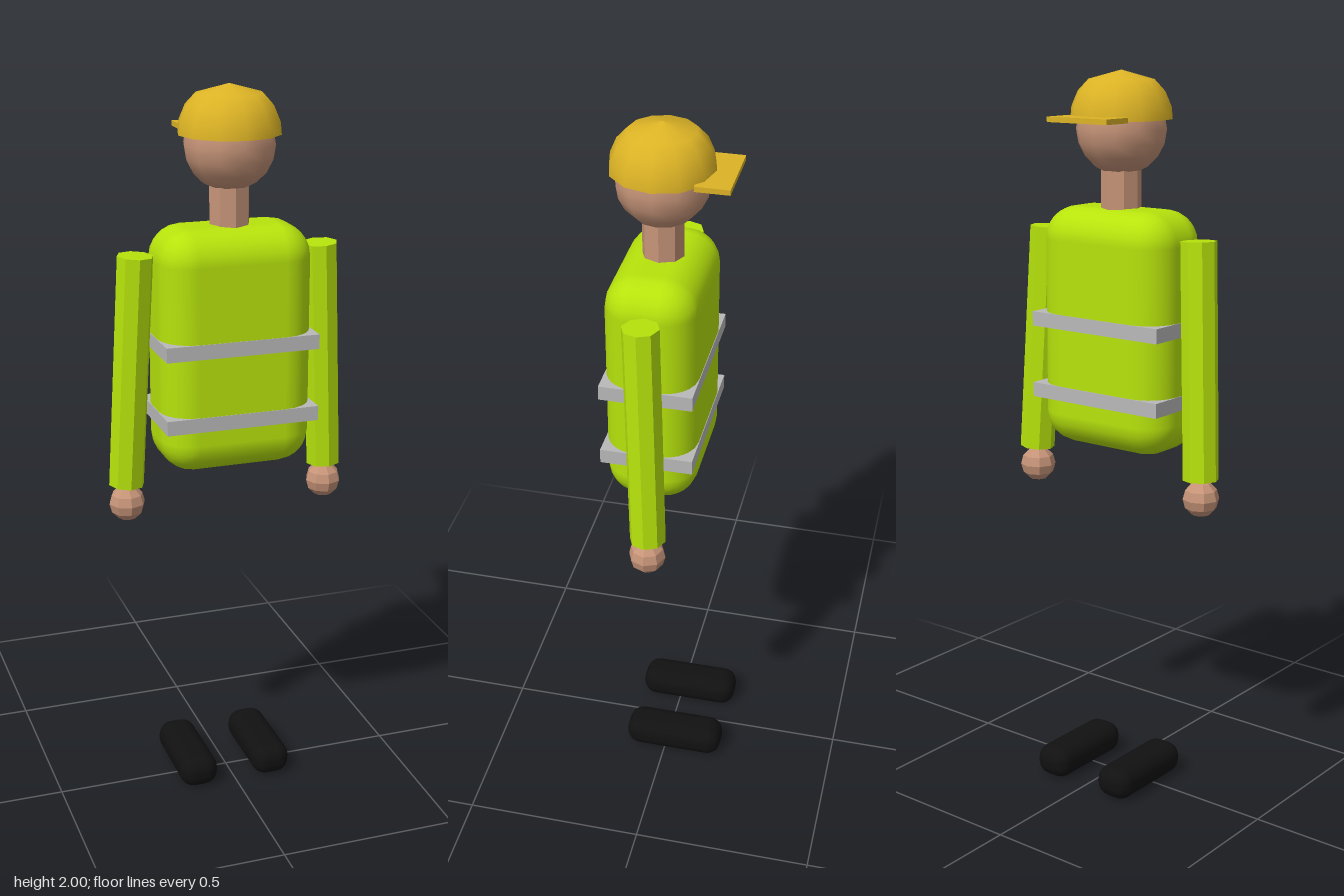
import * as THREE from 'three';
import { RoundedBoxGeometry } from 'three/addons/geometries/RoundedBoxGeometry.js';

function material(name, color, side = THREE.FrontSide) {
  const m = new THREE.MeshStandardMaterial({ color, side });
  m.name = name;
  return m;
}

// Faceted normals for the low-poly limbs
function faceted(geometry) {
  const g = geometry.toNonIndexed();
  g.computeVertexNormals();
  return g;
}

export function createModel() {
  const model = new THREE.Group();
  model.name = 'worker';
  const lime = material('safetyLime', 0xb7e30c);
  const grey = material('reflectiveGrey', 0xb9b9b9);
  const skin = material('skin', 0xc69478);
  const yellow = material('capYellow', 0xdcb325, THREE.DoubleSide);
  const black = material('shoeBlack', 0x111111);

  function add(name, geometry, mat, x, y, z) {
    const mesh = new THREE.Mesh(geometry, mat);
    mesh.name = name;
    mesh.position.set(x, y, z);
    model.add(mesh);
    return mesh;
  }

  const bodyZ = 0.03;

  // Vest torso with two reflective bands
  add('torso', new RoundedBoxGeometry(0.42, 0.66, 0.245, 3, 0.09), lime, 0, 1.31, bodyZ);
  for (const y of [1.13, 1.33]) {
    add('reflectiveBand', new THREE.BoxGeometry(0.424, 0.04, 0.248), grey, 0, y, bodyZ);
  }

  // Neck and head
  add('neck', faceted(new THREE.CylinderGeometry(0.055, 0.055, 0.16, 8)), skin, 0, 1.67, bodyZ);
  add('head', new THREE.SphereGeometry(0.122, 12, 10), skin, 0, 1.847, bodyZ);

  // Cap: open dome with a flat brim pointing to -z
  const dome = [[0.137, 1.873], [0.134, 1.905], [0.117, 1.945], [0.088, 1.976], [0, 2]];
  add('capDome', new THREE.LatheGeometry(dome.map(([r, y]) => new THREE.Vector2(r, y)), 12),
    yellow, 0, 0, bodyZ);
  add('capBrim', new THREE.BoxGeometry(0.197, 0.014, 0.09), yellow, 0, 1.877, -0.114);

  // Mirrored arms, hands and shoes
  for (const s of [1, -1]) {
    const side = s > 0 ? 'left' : 'right';
    const shoulder = new THREE.Vector3(s * 0.257, 1.57, 0.028);
    const wrist = new THREE.Vector3(s * 0.288, 0.933, 0.008);
    const axis = shoulder.clone().sub(wrist);
    const mid = shoulder.clone().add(wrist).multiplyScalar(0.5);
    const arm = add(side + 'Arm', faceted(new THREE.CylinderGeometry(0.049, 0.049, axis.length(), 8)),
      lime, mid.x, mid.y, mid.z);
    arm.quaternion.setFromUnitVectors(new THREE.Vector3(0, 1, 0), axis.normalize());

    add(side + 'Hand', faceted(new THREE.SphereGeometry(0.05, 8, 6)), skin, s * 0.288, 0.88, 0.01);
    add(side + 'Shoe', new RoundedBoxGeometry(0.11, 0.09, 0.286, 3, 0.04), black,
      s * 0.11, 0.045, -0.026);
  }

  return model;
}
